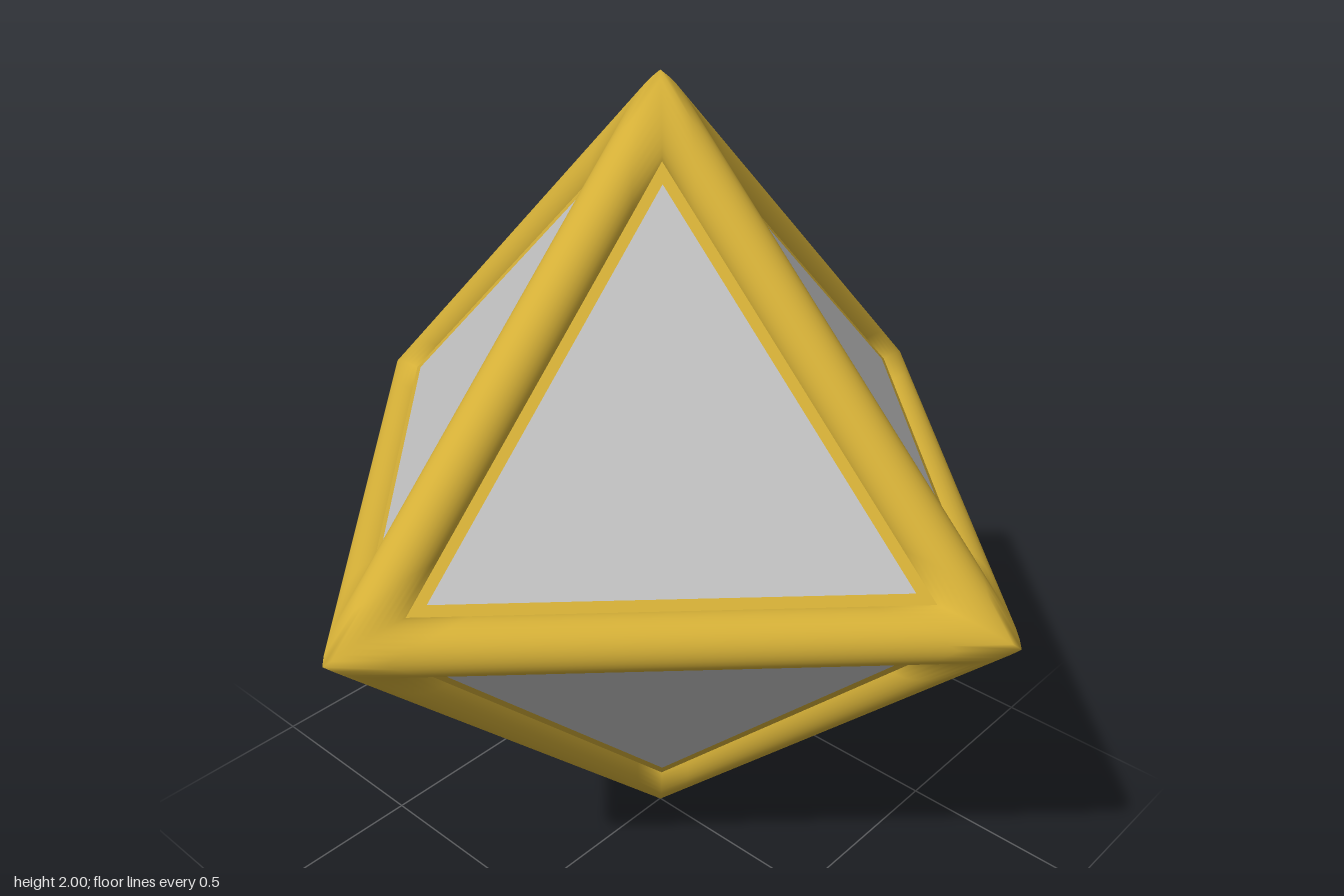
import * as THREE from 'three';
import { mergeGeometries, mergeVertices } from 'three/addons/utils/BufferGeometryUtils.js';

const R = 0.064;                 // bar radius
const U = Math.SQRT1_2 - R;      // distance of a bar's axis from the centre
const D = 0.957;                 // faces lie on |x| + |y| + |z| = D
const INNER = 0.083;             // inset of the panel from the edge planes
const OUTER = 0.03;              // start of the flat lip, hidden under the bar

// Round bar along one octahedron edge, mitred against its neighbours at both ends
function barGeometry() {
  const geo = new THREE.CylinderGeometry(R, R, 1, 32, 3, true);
  const pos = geo.attributes.position;
  for (let i = 0; i < pos.count; i++) {
    const out = U + pos.getX(i);
    const end = out - Math.SQRT2 * Math.abs(pos.getZ(i));
    const row = pos.getY(i);
    const along = Math.abs(row) > 0.4 ? end : end - 0.13;
    pos.setXYZ(i, out, Math.sign(row) * along, pos.getZ(i));
  }
  geo.deleteAttribute('uv');
  geo.deleteAttribute('normal');
  return geo;
}

// Corners of a triangle in a face plane, inset by m from the edge planes
function corners(m, sx, sy, sz) {
  const far = D - 2 * m;
  const tri = [[far, m, m], [m, far, m], [m, m, far]]
    .map(([x, y, z]) => new THREE.Vector3(x * sx, y * sy, z * sz));
  return sx * sy * sz < 0 ? tri.reverse() : tri;
}

function trianglesGeometry(points) {
  const geo = new THREE.BufferGeometry().setFromPoints(points);
  geo.computeVertexNormals();
  return geo;
}

export function createModel() {
  const model = new THREE.Group();
  model.name = 'framedOctahedron';
  const gold = new THREE.MeshStandardMaterial({ color: 0xd4af37 });
  gold.name = 'gold';
  const silver = new THREE.MeshStandardMaterial({ color: 0xc0c0c0 });
  silver.name = 'silver';

  const add = (name, geo, material) => {
    const mesh = new THREE.Mesh(geo, material);
    mesh.name = name;
    mesh.position.y = 1;
    model.add(mesh);
  };

  // Twelve edge bars, joined so the shading flows through the corners
  const bars = [];
  for (let axis = 0; axis < 3; axis++) {
    for (const sa of [-1, 1]) for (const sb of [-1, 1]) {
      const a = new THREE.Vector3().setComponent(axis, sa);
      const b = new THREE.Vector3().setComponent((axis + 1) % 3, sb);
      const out = a.clone().add(b).normalize();
      const along = a.clone().sub(b).normalize();
      const side = out.clone().cross(along);
      bars.push(barGeometry().applyMatrix4(new THREE.Matrix4().makeBasis(out, along, side)));
    }
  }
  const frame = mergeVertices(mergeGeometries(bars), 1e-4);
  frame.computeVertexNormals();
  add('edgeFrame', frame, gold);

  // Eight faces: a flat gold lip around a silver panel
  for (const sx of [-1, 1]) for (const sy of [-1, 1]) for (const sz of [-1, 1]) {
    const inner = corners(INNER, sx, sy, sz);
    const outer = corners(OUTER, sx, sy, sz);
    const lip = [];
    for (let i = 0; i < 3; i++) {
      const j = (i + 1) % 3;
      lip.push(outer[i], outer[j], inner[j], outer[i], inner[j], inner[i]);
    }
    add('panelLip', trianglesGeometry(lip), gold);
    add('panel', trianglesGeometry(inner), silver);
  }
  return model;
}
